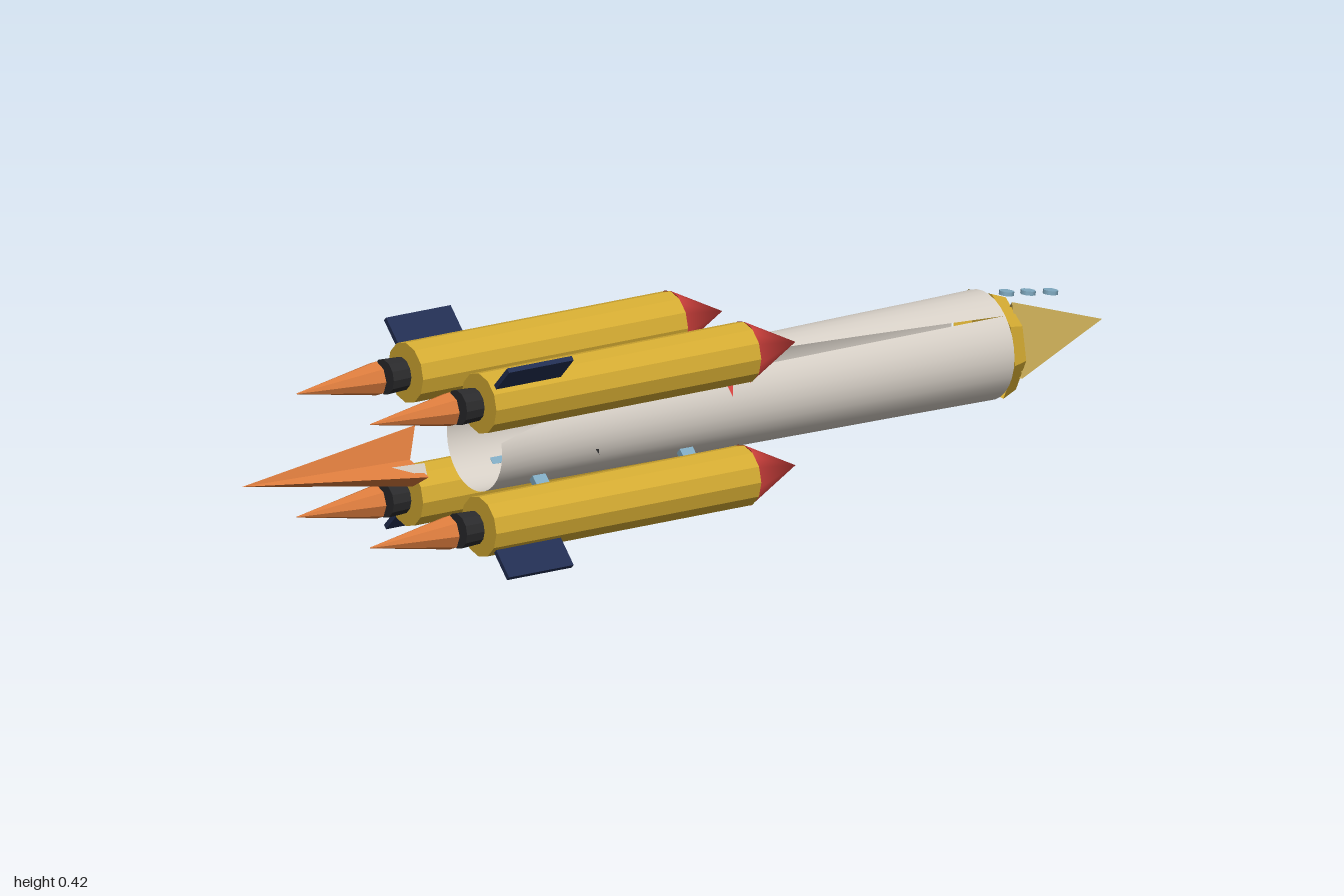
import * as THREE from 'three';

const mat = (name, color, extra = {}) =>
  Object.assign(new THREE.MeshStandardMaterial({ color, side: THREE.DoubleSide, ...extra }), { name });

export function createModel() {
  const white = mat('hull white', 0xd6cfc6);
  const gold = mat('gold', 0xd4ab32, { flatShading: true });
  const tan = mat('nose gold', 0xcdaf58, { flatShading: true });
  const red = mat('red', 0xd8433f);
  const orange = mat('flame orange', 0xd97a3c, { flatShading: true });
  const black = mat('nozzle black', 0x2a2a2c, { flatShading: true });
  const navy = mat('fin navy', 0x222e52);
  const blue = mat('window blue', 0x7fa9c0);

  const root = new THREE.Group();
  root.name = 'rocket';
  const CY = 0.2165;

  const add = (parent, name, geo, material, x = 0, y = 0, z = 0) => {
    const m = new THREE.Mesh(geo, material);
    m.name = name;
    m.position.set(x, y, z);
    parent.add(m);
    return m;
  };
  // cylinder lying along x, r1 at the +x end
  const tube = (r1, r0, len, sides, open = false) =>
    new THREE.CylinderGeometry(r1, r0, len, sides, 1, open).rotateZ(-Math.PI / 2);
  // open cone from a base loop of [x, y, z] points to an apex
  const fan = (base, apex) => {
    const pos = [...base, apex].flat();
    const n = base.length, idx = [];
    for (let i = 0; i < n; i++) idx.push(i, (i + 1) % n, n);
    const g = new THREE.BufferGeometry();
    g.setAttribute('position', new THREE.Float32BufferAttribute(pos, 3));
    g.setIndex(idx);
    g.computeVertexNormals();
    return g;
  };
  // loose triangle or quad panel
  const panel = (pts) => {
    const g = new THREE.BufferGeometry();
    g.setAttribute('position', new THREE.Float32BufferAttribute(pts.flat(), 3));
    g.setIndex(pts.length === 4 ? [0, 1, 2, 0, 2, 3] : [0, 1, 2]);
    g.computeVertexNormals();
    return g;
  };

  // Hull: tapered shell with a long wedge opening that closes toward the nose
  const STEPS = 12, SIDES = 32, pos = [], nor = [], idx = [];
  for (let i = 0; i <= STEPS; i++) {
    const t = i / STEPS, r = THREE.MathUtils.lerp(0.094, 0.108, t);
    const low = THREE.MathUtils.lerp(14, 45, Math.min(1, t / 0.18));
    const high = THREE.MathUtils.lerp(84, 45, t);
    for (let j = 0; j <= SIDES; j++) {
      const a = THREE.MathUtils.degToRad(THREE.MathUtils.lerp(high, low + 360, j / SIDES));
      pos.push(-0.46 + 1.18 * t, CY + r * Math.sin(a), r * Math.cos(a));
      nor.push(0, Math.sin(a), Math.cos(a));
      if (i < STEPS && j < SIDES) {
        const p = i * (SIDES + 1) + j, q = p + SIDES + 1;
        idx.push(p, p + 1, q, p + 1, q + 1, q);
      }
    }
  }
  const hull = new THREE.BufferGeometry();
  hull.setAttribute('position', new THREE.Float32BufferAttribute(pos, 3));
  hull.setAttribute('normal', new THREE.Float32BufferAttribute(nor, 3));
  // loops run from rear to front, angle rising from +z to +y: outward winding
  for (let k = 0; k < idx.length; k += 3) [idx[k + 1], idx[k + 2]] = [idx[k + 2], idx[k + 1]];
  hull.setIndex(idx);
  const vA = new THREE.Vector3(...pos.slice(0, 3));
  const tri = [0, 1, 2].map((k) => new THREE.Vector3(...pos.slice(idx[k] * 3, idx[k] * 3 + 3)));
  const face = tri[1].clone().sub(tri[0]).cross(tri[2].clone().sub(tri[0]));
  if (face.dot(vA.sub(new THREE.Vector3(vA.x, CY, 0))) < 0) hull.setIndex(idx.reverse());
  add(root, 'hull', hull, white);

  // Collar and faceted nose
  const loop = [[0.325, 0.03], [0.315, -0.05], [0.255, -0.105], [0.14, -0.08],
    [0.125, 0.07], [0.2, 0.11], [0.275, 0.095]];
  const inner = loop.map(([y, z]) => [0.755, CY + (y - CY) * 0.88, z * 0.88]);
  loop.forEach(([y, z], i) => {
    const [y2, z2] = loop[(i + 1) % loop.length];
    add(root, 'collarSide', panel([[0.72, y, z], inner[i], inner[(i + 1) % loop.length], [0.72, y2, z2]]), gold);
  });
  add(root, 'collarFace', fan(inner, [0.757, CY, 0]), gold);
  add(root, 'noseCone', fan([[0.75, 0.31, 0.055], [0.75, 0.165, 0.09], [0.75, 0.145, -0.07]],
    [0.99, 0.225, 0.01]), tan);

  // Row of windows above the nose
  [[0.775, 0.311], [0.825, 0.304], [0.877, 0.296]].forEach(([x, y]) => {
    add(root, 'window', new THREE.CylinderGeometry(0.015, 0.015, 0.008, 8), blue, x, y, 0).rotation.z = -0.14;
  });

  // Band remnants on the hull
  add(root, 'darkBandTop', panel([[-0.3, 0.315, -0.02], [-0.3, 0.315, 0.02], [-0.235, 0.316, 0.05], [-0.235, 0.316, -0.04]]), black);
  add(root, 'darkBandFront', panel([[-0.3, 0.285, 0.075], [-0.235, 0.18, 0.095], [-0.23, 0.285, 0.075]]), black);
  add(root, 'darkBandBelow', panel([[-0.3, 0.14, -0.07], [-0.23, 0.118, -0.02], [-0.23, 0.15, -0.08]]), black);
  add(root, 'redBandTop', panel([[0.04, 0.32, -0.015], [0.045, 0.32, 0.025], [0.08, 0.318, 0.04], [0.1, 0.32, 0.0]]), red);
  add(root, 'redBandFront', panel([[0.06, 0.285, 0.08], [0.072, 0.245, 0.1], [0.085, 0.285, 0.08]]), red);
  add(root, 'redBandBelow', panel([[0.04, 0.135, -0.068], [0.1, 0.112, -0.015], [0.09, 0.145, -0.08]]), red);

  // Main exhaust flame with a scrap of the engine bell
  add(root, 'mainFlame', fan([[-0.605, 0.28, 0.01], [-0.63, 0.22, 0.03], [-0.61, 0.19, 0.065],
    [-0.61, 0.158, 0.01], [-0.605, 0.2, -0.045]], [-1, 0.22, 0]), orange);
  add(root, 'engineBell', panel([[-0.68, 0.215, 0.04], [-0.61, 0.19, 0.06], [-0.61, 0.215, 0.05]]), white);

  // Four boosters with nose cap, nozzle, flame, fin and struts
  for (const sy of [1, -1]) for (const sz of [1, -1]) {
    const b = new THREE.Group();
    b.name = 'booster';
    b.position.set(0, CY + sy * 0.1235, sz * 0.125);
    root.add(b);
    add(b, 'boosterBody', tube(0.06, 0.06, 0.615, 12), gold, -0.2275);
    // cap base is cut flat on its +z side
    const base = [];
    for (let i = 0; i < 16; i++) {
      const a = (i / 16) * Math.PI * 2;
      base.push([0.081, 0.06 * Math.sin(a), Math.min(0.06 * Math.cos(a), 0.036)]);
    }
    add(b, 'boosterCap', fan(base, [0.2, 0, 0]), red);
    add(b, 'nozzle', tube(0.033, 0.035, 0.042, 12), black, -0.565);
    add(b, 'boosterFlame', tube(0.034, 0.001, 0.185, 8), orange, -0.695);
    // fin points straight out from the hull
    const fin = add(b, 'fin', new THREE.BoxGeometry(0.15, 0.075, 0.01), navy,
      -0.45, sy * 0.0585, sz * 0.0585);
    fin.rotation.x = sy * sz * Math.PI / 4;
    for (const x of [-0.36, -0.02]) {
      const strut = add(b, 'strut', new THREE.BoxGeometry(0.03, 0.03, 0.015), blue,
        x, -sy * 0.047, -sz * 0.047);
      strut.rotation.x = sy * sz * Math.PI / 4;
    }
  }
  return root;
}
